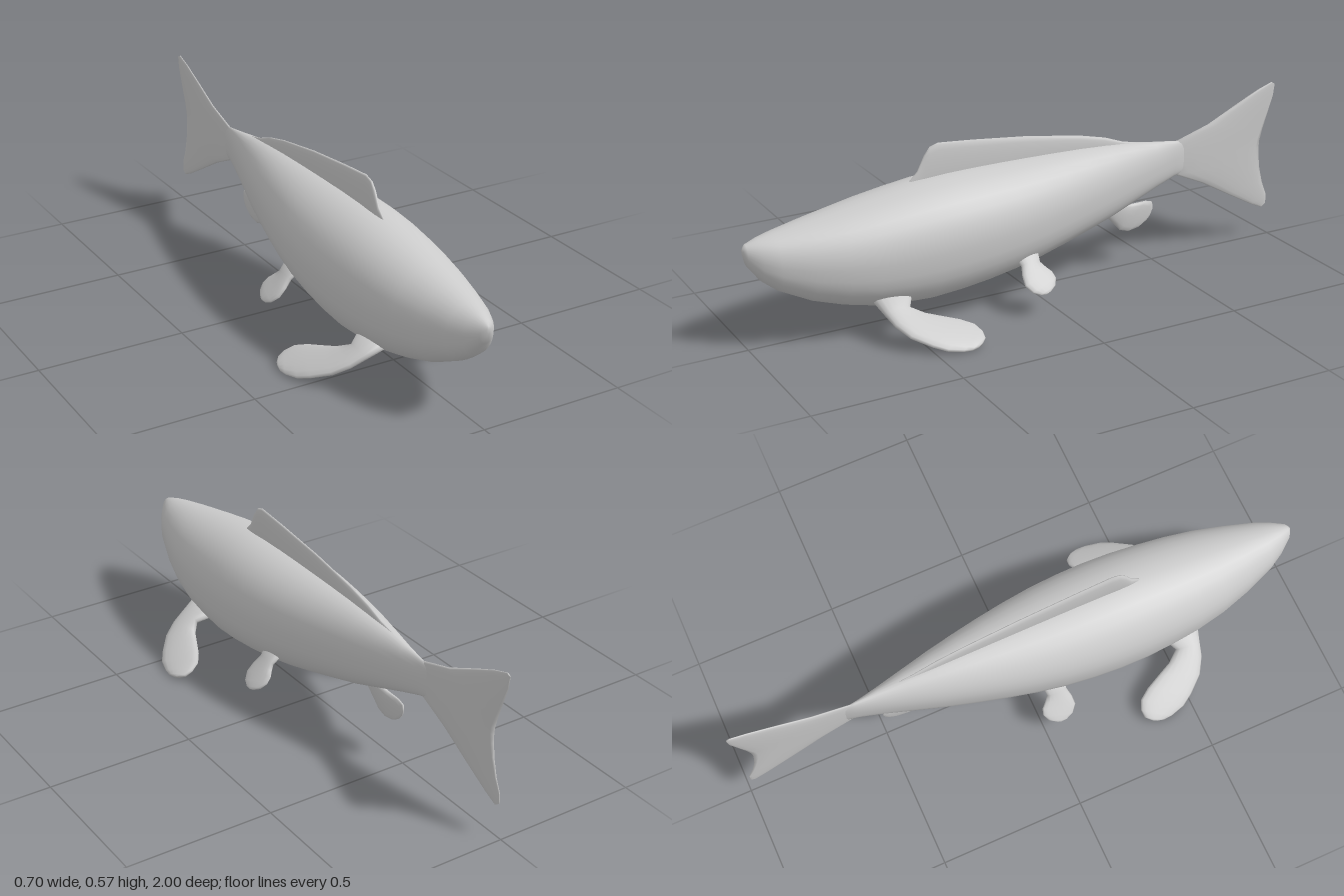
import * as THREE from 'three';

const material = new THREE.MeshStandardMaterial({ color: 0xcccccc });
const V = (x, y, z) => new THREE.Vector3(x, y, z);

// Smooth skin over a list of closed rings, each end closed by a centre point
function loft(name, rings) {
  const n = rings[0].length, points = rings.flat(), index = [];
  for (let i = 0; i < rings.length - 1; i++) {
    for (let j = 0; j < n; j++) {
      const a = i * n + j, b = i * n + (j + 1) % n;
      index.push([a, b, a + n], [b, b + n, a + n]);
    }
  }
  const last = (rings.length - 1) * n;
  [rings[0], rings[rings.length - 1]].forEach((ring, end) => {
    const c = points.length;
    points.push(ring.reduce((s, p) => s.add(p), V(0, 0, 0)).divideScalar(n));
    for (let j = 0; j < n; j++) {
      const k = (j + 1) % n;
      index.push(end ? [c, last + j, last + k] : [c, k, j]);
    }
  });
  // Signed volume tells whether the faces point outwards
  const volume = index.reduce((s, [a, b, c]) =>
    s + points[a].dot(points[b].clone().cross(points[c])), 0);
  if (volume < 0) index.forEach(f => f.reverse());
  const geometry = new THREE.BufferGeometry().setFromPoints(points);
  geometry.setIndex(index.flat());
  geometry.computeVertexNormals();
  const mesh = new THREE.Mesh(geometry, material);
  mesh.name = name;
  return mesh;
}

// Lens-shaped fin: stations are [edge point, opposite edge point, half thickness]
function fin(name, normal, stations) {
  return loft(name, stations.map(([a, b, t]) => {
    const mid = a.clone().lerp(b, 0.5), half = a.clone().sub(b).multiplyScalar(0.5);
    return Array.from({ length: 16 }, (_, j) => {
      const u = j / 16 * Math.PI * 2, s = Math.sin(u);
      return mid.clone().addScaledVector(half, Math.cos(u))
        .addScaledVector(normal, t * Math.sign(s) * Math.abs(s) ** 0.8);
    });
  }));
}

// Fin in the middle plane: [z1, y1, z2, y2, half thickness]
const midFin = (name, rows) => fin(name, V(1, 0, 0),
  rows.map(([z1, y1, z2, y2, t]) => [V(0, y1, z1), V(0, y2, z2), t]));

// Mirrored pair of sloping fins: [x1, z1, x2, z2, half thickness]
function finPair(group, name, x0, y0, slope, rows) {
  for (const side of [1, -1]) {
    const at = (x, z) => V(side * x, y0 - slope * (x - x0), z);
    group.add(fin((side > 0 ? 'left' : 'right') + name, V(side * slope, 1, 0).normalize(),
      rows.map(([x1, z1, x2, z2, t]) => [at(x1, z1), at(x2, z2), t])));
  }
}

export function createModel() {
  const fish = new THREE.Group();
  fish.name = 'fish';

  // Body stations: z, belly y, back y, half width
  const body = [
    [1, 0.325, 0.35, 0.008], [0.99, 0.29, 0.362, 0.025], [0.95, 0.235, 0.375, 0.055],
    [0.9, 0.195, 0.386, 0.082], [0.8, 0.145, 0.405, 0.117], [0.7, 0.113, 0.422, 0.145],
    [0.6, 0.09, 0.44, 0.163], [0.5, 0.079, 0.455, 0.174], [0.4, 0.075, 0.468, 0.181],
    [0.3, 0.083, 0.474, 0.183], [0.2, 0.095, 0.476, 0.179], [0.1, 0.111, 0.476, 0.17],
    [0, 0.131, 0.475, 0.155], [-0.1, 0.155, 0.473, 0.136], [-0.2, 0.18, 0.47, 0.114],
    [-0.3, 0.207, 0.464, 0.09], [-0.4, 0.24, 0.454, 0.063], [-0.5, 0.274, 0.44, 0.036],
    [-0.58, 0.3, 0.43, 0.015], [-0.62, 0.31, 0.425, 0.007],
  ];
  fish.add(loft('body', body.map(([z, low, high, w]) =>
    Array.from({ length: 32 }, (_, j) => {
      const u = j / 32 * Math.PI * 2, c = Math.cos(u), s = Math.sin(u);
      const e = s < 0 ? 0.8 : 1; // fuller belly than back
      return V(w * Math.sign(c) * Math.abs(c) ** e,
        (low + high) / 2 + (high - low) / 2 * Math.sign(s) * Math.abs(s) ** e, z);
    }))));

  // Forked tail, from the upper tip to the lower tip
  fish.add(midFin('tailFin', [
    [-0.985, 0.58, -1, 0.572, 0.003], [-0.93, 0.562, -0.995, 0.53, 0.005],
    [-0.85, 0.527, -0.975, 0.47, 0.007], [-0.72, 0.467, -0.955, 0.41, 0.008],
    [-0.59, 0.428, -0.945, 0.37, 0.009], [-0.55, 0.37, -0.943, 0.345, 0.009],
    [-0.59, 0.304, -0.945, 0.315, 0.009], [-0.7, 0.255, -0.95, 0.27, 0.008],
    [-0.82, 0.188, -0.965, 0.21, 0.007], [-0.92, 0.133, -0.985, 0.16, 0.005],
    [-0.965, 0.113, -0.985, 0.127, 0.003],
  ]));

  // Long dorsal fin along the back
  fish.add(midFin('dorsalFin', [
    [0.43, 0.43, 0.43, 0.465, 0.004], [0.395, 0.42, 0.4, 0.495, 0.008],
    [0.375, 0.42, 0.375, 0.545, 0.009], [0.355, 0.42, 0.355, 0.57, 0.01],
    [0.325, 0.42, 0.325, 0.579, 0.01], [0.2, 0.42, 0.2, 0.568, 0.01],
    [0, 0.42, 0, 0.546, 0.01], [-0.2, 0.42, -0.2, 0.514, 0.009],
    [-0.3, 0.42, -0.3, 0.49, 0.008], [-0.37, 0.41, -0.37, 0.464, 0.006],
    [-0.44, 0.41, -0.44, 0.448, 0.003],
  ]));

  // Single fin under the tail
  fish.add(midFin('analFin', [
    [-0.27, 0.24, -0.39, 0.27, 0.02], [-0.315, 0.197, -0.375, 0.23, 0.015],
    [-0.345, 0.165, -0.42, 0.229, 0.012], [-0.365, 0.142, -0.47, 0.23, 0.01],
    [-0.4, 0.13, -0.497, 0.222, 0.008], [-0.44, 0.137, -0.5, 0.2, 0.006],
    [-0.47, 0.155, -0.492, 0.18, 0.004],
  ]));

  // Large front side fins
  finPair(fish, 'PectoralFin', 0.15, 0.115, 0.53, [
    [0.11, 0.62, 0.11, 0.48, 0.026], [0.17, 0.603, 0.165, 0.515, 0.021],
    [0.215, 0.592, 0.195, 0.475, 0.018], [0.265, 0.563, 0.215, 0.43, 0.016],
    [0.31, 0.51, 0.24, 0.375, 0.015], [0.335, 0.47, 0.265, 0.338, 0.013],
    [0.348, 0.42, 0.295, 0.325, 0.011], [0.35, 0.39, 0.32, 0.328, 0.009],
    [0.345, 0.365, 0.335, 0.345, 0.006],
  ]);

  // Small middle side fins
  finPair(fish, 'PelvicFin', 0.16, 0.15, 1, [
    [0.11, 0.12, 0.11, 0.025, 0.02], [0.15, 0.105, 0.15, 0.035, 0.014],
    [0.175, 0.115, 0.165, 0.02, 0.012], [0.2, 0.118, 0.178, 0.005, 0.01],
    [0.22, 0.1, 0.195, 0, 0.009], [0.229, 0.075, 0.213, 0.012, 0.007],
    [0.23, 0.055, 0.225, 0.035, 0.004],
  ]);

  return fish;
}
